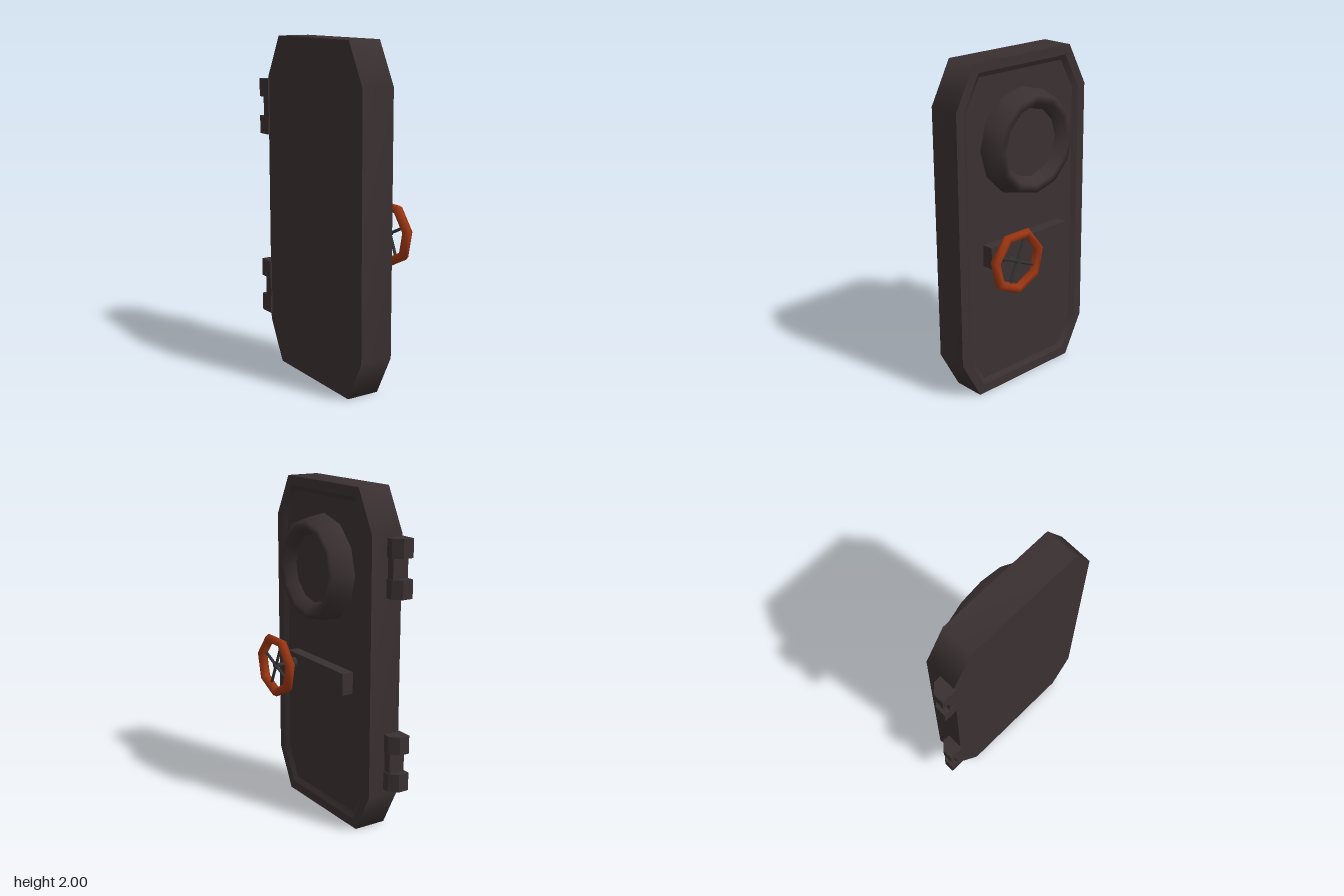
import * as THREE from 'three';
import { mergeGeometries } from 'three/addons/utils/BufferGeometryUtils.js';

const darkSteel = new THREE.MeshStandardMaterial({ name: 'darkSteel', color: 0x3a3031 });
const shaftSteel = new THREE.MeshStandardMaterial({ name: 'shaftSteel', color: 0x353233 });
const wheelOrange = new THREE.MeshStandardMaterial({ name: 'wheelOrange', color: 0x9a3512 });

// Long octagon outline, counter-clockwise seen from +x; inset null collapses it to the centre
function octagon(inset, x) {
  const zc = 0.046, d = inset ?? 0;
  const hz = 0.497 - d, hy = 1 - d;
  const cz = 0.367 - d * 0.595, cy = 0.755 - d * 0.254;
  const outline = [[hz, -cy], [hz, cy], [cz, hy], [-cz, hy], [-hz, cy], [-hz, -cy], [-cz, -hy], [cz, -hy]];
  return outline.map(([a, y]) => (inset === null ? [x, 1, zc] : [x, 1 + y, zc - a]));
}

// Surface between two outlines, smooth around the loop
function band(r1, r2) {
  const n = r1.length, index = [];
  for (let j = 0; j < n; j++) {
    const k = (j + 1) % n;
    index.push(j, k, n + j, k, n + k, n + j);
  }
  const g = new THREE.BufferGeometry();
  g.setAttribute('position', new THREE.Float32BufferAttribute([...r1, ...r2].flat(), 3));
  g.setIndex(index);
  g.computeVertexNormals();
  return g;
}

export function createModel() {
  const model = new THREE.Group();
  model.name = 'bulkheadDoor';
  const add = (name, geometry, material, x = 0, y = 0, z = 0, parent = model) => {
    const mesh = new THREE.Mesh(geometry, material);
    mesh.name = name;
    mesh.position.set(x, y, z);
    parent.add(mesh);
    return mesh;
  };

  // Door slab with raised rim and slightly sunken front panel
  const rings = [[null, -0.2], [0, -0.2], [0, 0], [0.055, 0], [0.085, -0.02], [null, -0.02]]
    .map(([inset, x]) => octagon(inset, x));
  const bands = rings.slice(1).map((r, i) => band(rings[i], r));
  add('doorSlab', mergeGeometries(bands), darkSteel);

  // Round window with a tapered frame
  const profile = [[0.313, -0.03], [0.313, 0], [0.283, 0.11], [0.24, 0.11], [0.2, 0.05]]
    .map(([r, h]) => new THREE.Vector2(r, h));
  const frame = new THREE.LatheGeometry(profile, 12).rotateZ(-Math.PI / 2);
  add('windowFrame', frame, darkSteel, 0, 1.503, 0.047);
  const pane = new THREE.CircleGeometry(0.2, 12).rotateY(Math.PI / 2);
  add('windowPane', pane, darkSteel, 0.05, 1.503, 0.047);

  // Lock housing
  add('lockHousing', new THREE.BoxGeometry(0.09, 0.13, 0.6), darkSteel, 0.005, 0.88, 0.05);

  // Hand wheel with hub, shaft and crossed spokes
  const wheel = new THREE.Group();
  wheel.name = 'handWheel';
  wheel.position.set(0, 0.885, 0.276);
  model.add(wheel);
  const rod = (r, len, sides) => new THREE.CylinderGeometry(r, r, len, sides);
  add('hub', rod(0.033, 0.06, 8).rotateZ(-Math.PI / 2), shaftSteel, 0.073, 0, 0, wheel);
  add('shaft', rod(0.013, 0.11, 8).rotateZ(-Math.PI / 2), shaftSteel, 0.14, 0, 0, wheel);
  const rim = new THREE.TorusGeometry(0.169, 0.029, 6, 7).rotateZ(-Math.PI / 2).rotateY(Math.PI / 2);
  add('wheelRim', rim, wheelOrange, 0.181, 0, 0, wheel);
  for (const angle of [0.43, 0.43 + Math.PI / 2]) {
    add('spoke', rod(0.009, 0.31, 6), shaftSteel, 0.181, 0, 0, wheel).rotation.x = -angle;
  }

  // Hinges on the back edge: two chamfered knuckles joined by a lower block
  const knuckle = new THREE.Shape([[-0.21, 0.44], [-0.1, 0.44], [-0.1, 0.495], [-0.145, 0.542], [-0.21, 0.542]]
    .map(([x, d]) => new THREE.Vector2(x, d)));
  const knuckleGeo = new THREE.ExtrudeGeometry(knuckle, { depth: 0.108, bevelEnabled: false })
    .rotateX(-Math.PI / 2);
  for (const base of [0.28, 1.405]) {
    const hinge = new THREE.Group();
    hinge.name = 'hinge';
    hinge.position.y = base;
    model.add(hinge);
    add('lowerKnuckle', knuckleGeo, darkSteel, 0, 0, 0, hinge);
    add('upperKnuckle', knuckleGeo, darkSteel, 0, 0.225, 0, hinge);
    add('hingeBlock', new THREE.BoxGeometry(0.1, 0.13, 0.06), darkSteel, -0.157, 0.166, -0.47, hinge);
  }

  return model;
}
